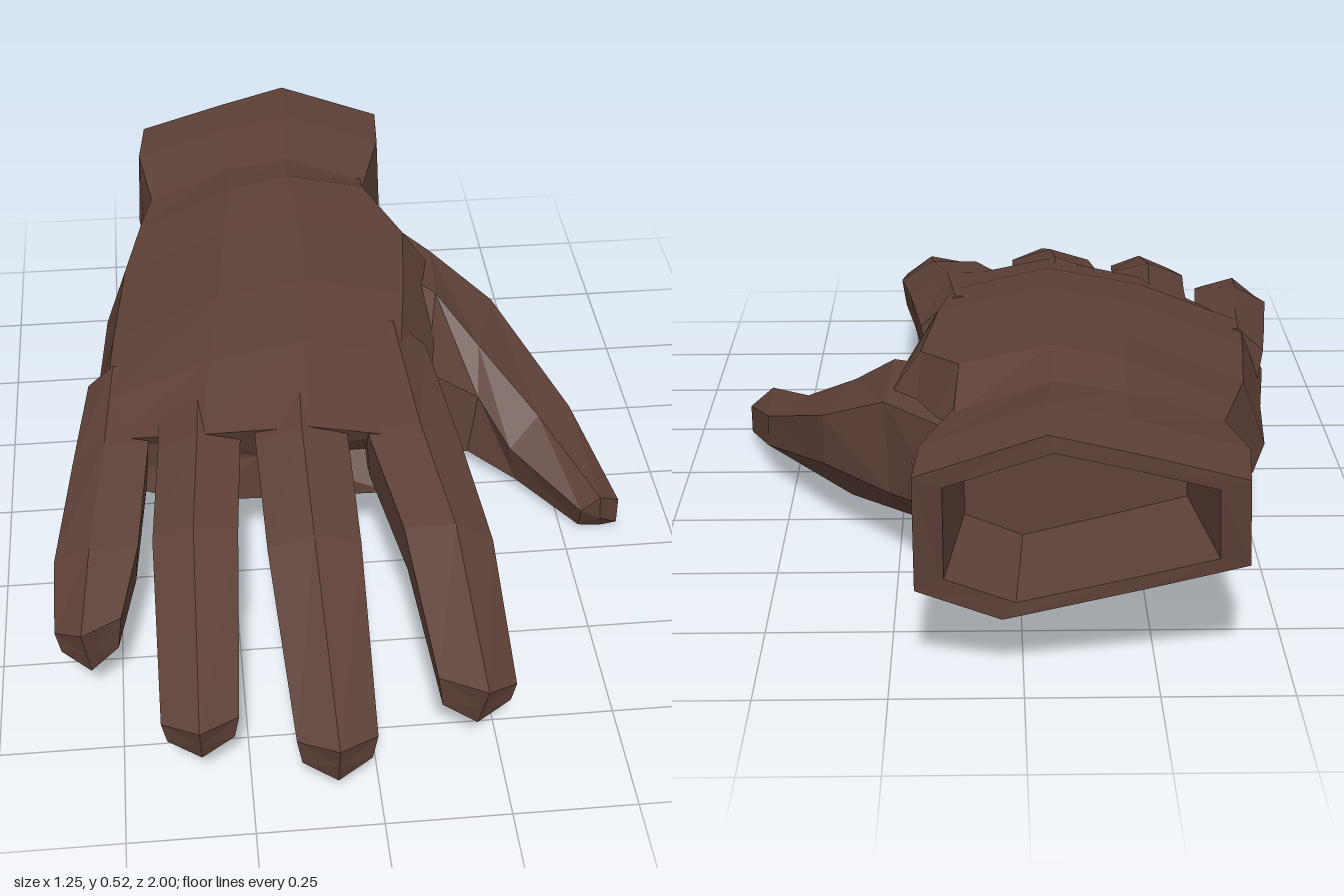
import * as THREE from 'three';

const brown = new THREE.MeshStandardMaterial({ color: 0x5d4037, flatShading: true });
brown.name = 'brown leather';

const average = pts => [0, 1, 2].map(k => pts.reduce((s, p) => s + p[k], 0) / pts.length);

// Skins a list of equal-length rings of [x, y, z] and closes both ends, the last one at tip.
function loft(name, rings, tip = average(rings[rings.length - 1])) {
  const n = rings[0].length, pos = [];
  const tri = (a, b, c) => pos.push(...a, ...b, ...c);
  for (let j = 0; j < rings.length - 1; j++) {
    const a = rings[j], b = rings[j + 1];
    for (let i = 0; i < n; i++) {
      const k = (i + 1) % n;
      tri(a[i], b[i], a[k]);
      tri(a[k], b[i], b[k]);
    }
  }
  const first = rings[0], last = rings[rings.length - 1], base = average(first);
  for (let i = 0; i < n; i++) {
    const k = (i + 1) % n;
    tri(first[i], first[k], base);
    tri(last[k], last[i], tip);
  }
  const geo = new THREE.BufferGeometry();
  geo.setAttribute('position', new THREE.Float32BufferAttribute(pos, 3));
  geo.computeVertexNormals();
  const mesh = new THREE.Mesh(geo, brown);
  mesh.name = name;
  return mesh;
}

// Flat cross-section at depth z; a point may carry its own z.
const ring = (z, pts) => pts.map(p => [p[0], p[1], p[2] ?? z]);

// Wrist cuff with a hollow, slanted opening
function makeCuff() {
  const rim = [[-0.41, 0.25], [-0.40, 0.43], [-0.2, 0.485], [-0.04, 0.525],
    [0.2, 0.44], [0.2, 0.2], [0.04, 0.135], [-0.22, 0.2]]
    .map(([x, y]) => [x, y, -1 + (0.525 - y) * 0.13]);
  const shrink = (s, z) => rim.map(p => [-0.1 + (p[0] + 0.1) * s, 0.33 + (p[1] - 0.33) * s, z ?? p[2]]);
  return loft('cuff', [
    shrink(0.7, -0.72), shrink(0.82), rim,
    ring(-0.85, [[-0.425, 0.24], [-0.415, 0.43], [-0.2, 0.49], [-0.04, 0.525],
      [0.19, 0.44], [0.2, 0.2], [0.06, 0.105], [-0.24, 0.18]]),
    ring(-0.68, [[-0.41, 0.25], [-0.39, 0.41], [-0.2, 0.475], [-0.06, 0.498],
      [0.14, 0.43], [0.165, 0.22], [0.08, 0.13], [-0.28, 0.18]]),
    ring(-0.57, [[-0.4, 0.26], [-0.37, 0.4], [-0.2, 0.47], [-0.06, 0.49],
      [0.1, 0.43], [0.13, 0.23], [0.07, 0.14], [-0.28, 0.18]]),
  ]);
}

// Back of the hand and palm
function makePalm() {
  return loft('palm', [
    ring(-0.69, [[-0.405, 0.25], [-0.385, 0.41], [-0.2, 0.475], [-0.06, 0.498],
      [0.13, 0.43], [0.16, 0.23], [0.07, 0.135], [-0.28, 0.185]]),
    ring(-0.56, [[-0.465, 0.25], [-0.42, 0.4], [-0.2, 0.495], [-0.06, 0.525],
      [0.12, 0.485], [0.215, 0.27], [0.09, 0.085], [-0.3, 0.165]]),
    ring(-0.4, [[-0.51, 0.24], [-0.46, 0.38], [-0.22, 0.48], [-0.05, 0.515],
      [0.2, 0.45], [0.275, 0.34], [0.045, 0.03], [-0.35, 0.155]]),
    ring(-0.15, [[-0.535, 0.22], [-0.49, 0.365], [-0.25, 0.465], [-0.05, 0.5],
      [0.17, 0.445], [0.245, 0.32], [0.1, 0.07], [-0.35, 0.15]]),
    ring(0.05, [[-0.565, 0.21], [-0.51, 0.345], [-0.28, 0.435], [-0.07, 0.475],
      [0.14, 0.425], [0.21, 0.3], [0.1, 0.17], [-0.35, 0.155]]),
    ring(0.26, [[-0.575, 0.2, 0.12], [-0.5, 0.315, 0.15], [-0.3, 0.385, 0.24], [-0.08, 0.42, 0.28],
      [0.09, 0.385, 0.28], [0.2, 0.29, 0.2], [0.1, 0.21], [-0.35, 0.17, 0.2]]),
  ]);
}

// Finger from stations [z, left x, right x, top y, bottom y] with a wedge tip; roll tilts the back
function makeFinger(name, stations, roll) {
  const rings = stations.map(([z, xl, xr, top, bot], j) => {
    const h = top - bot, xm = (xl + xr) / 2, end = j === stations.length - 1;
    return [
      [xm + roll, top, z + (end ? 0.05 : 0)],
      [xr, top - h * (0.15 + roll * 10), z],
      [xr - 0.01, bot + h * 0.32, z],
      [xm, bot, z + (end ? 0.02 : 0)],
      [xl + 0.01, bot + h * 0.32, z],
      [xl, top - h * (0.15 - roll * 10), z],
    ];
  });
  const last = rings[rings.length - 1];
  return loft(name, rings, average([last[0], last[3]]));
}

const fingers = {
  indexFinger: [[
    [-0.05, 0.03, 0.21, 0.445, 0.2], [0.26, 0.04, 0.245, 0.395, 0.195],
    [0.52, 0.09, 0.275, 0.335, 0.165], [0.84, 0.12, 0.275, 0.225, 0.115]], 0.014],
  middleFinger: [[
    [0.02, -0.19, 0.02, 0.465, 0.2], [0.28, -0.195, 0.0, 0.425, 0.195],
    [0.55, -0.19, 0.0, 0.355, 0.165], [0.95, -0.165, -0.01, 0.21, 0.1]], 0],
  ringFinger: [[
    [0.0, -0.39, -0.21, 0.42, 0.18], [0.24, -0.4, -0.225, 0.39, 0.18],
    [0.48, -0.42, -0.245, 0.34, 0.165], [0.88, -0.42, -0.27, 0.21, 0.115]], -0.003],
  littleFinger: [[
    [-0.05, -0.55, -0.41, 0.365, 0.17], [0.18, -0.585, -0.42, 0.33, 0.15],
    [0.46, -0.625, -0.45, 0.285, 0.135], [0.62, -0.625, -0.49, 0.235, 0.11]], -0.012],
};

// Thumb rings run outer top, inner top, inner side, inner bottom, outer bottom, outer side
function makeThumb() {
  const rings = [
    [[0.12, 0.38, -0.66], [0.05, 0.42, -0.45], [0, 0.3, -0.2], [0.05, 0.07, -0.15], [0.05, 0.05, -0.45], [0.14, 0.22, -0.68]],
    [[0.275, 0.36, -0.45], [0.26, 0.375, -0.25], [0.22, 0.28, -0.07], [0.18, 0.05, -0.06], [0.18, 0.04, -0.35], [0.265, 0.17, -0.48]],
    [[0.41, 0.285, -0.34], [0.35, 0.29, -0.15], [0.34, 0.2, -0.07], [0.32, 0.05, -0.06], [0.36, 0.05, -0.23], [0.41, 0.17, -0.33]],
    [[0.555, 0.165, -0.06], [0.47, 0.19, 0], [0.4, 0.13, 0.04], [0.42, 0.03, 0.03], [0.49, 0.03, -0.02], [0.56, 0.09, -0.05]],
    [[0.625, 0.085, 0.19], [0.575, 0.12, 0.22], [0.535, 0.08, 0.215], [0.54, 0.01, 0.18], [0.59, 0, 0.175], [0.625, 0.02, 0.19]],
  ];
  return loft('thumb', rings.map(r => r.reverse()), [0.58, 0.055, 0.215]);
}

export function createModel() {
  const glove = new THREE.Group();
  glove.name = 'glove';
  glove.add(makeCuff(), makePalm(), makeThumb());
  for (const [name, [stations, roll]] of Object.entries(fingers)) {
    glove.add(makeFinger(name, stations, roll));
  }
  return glove;
}
